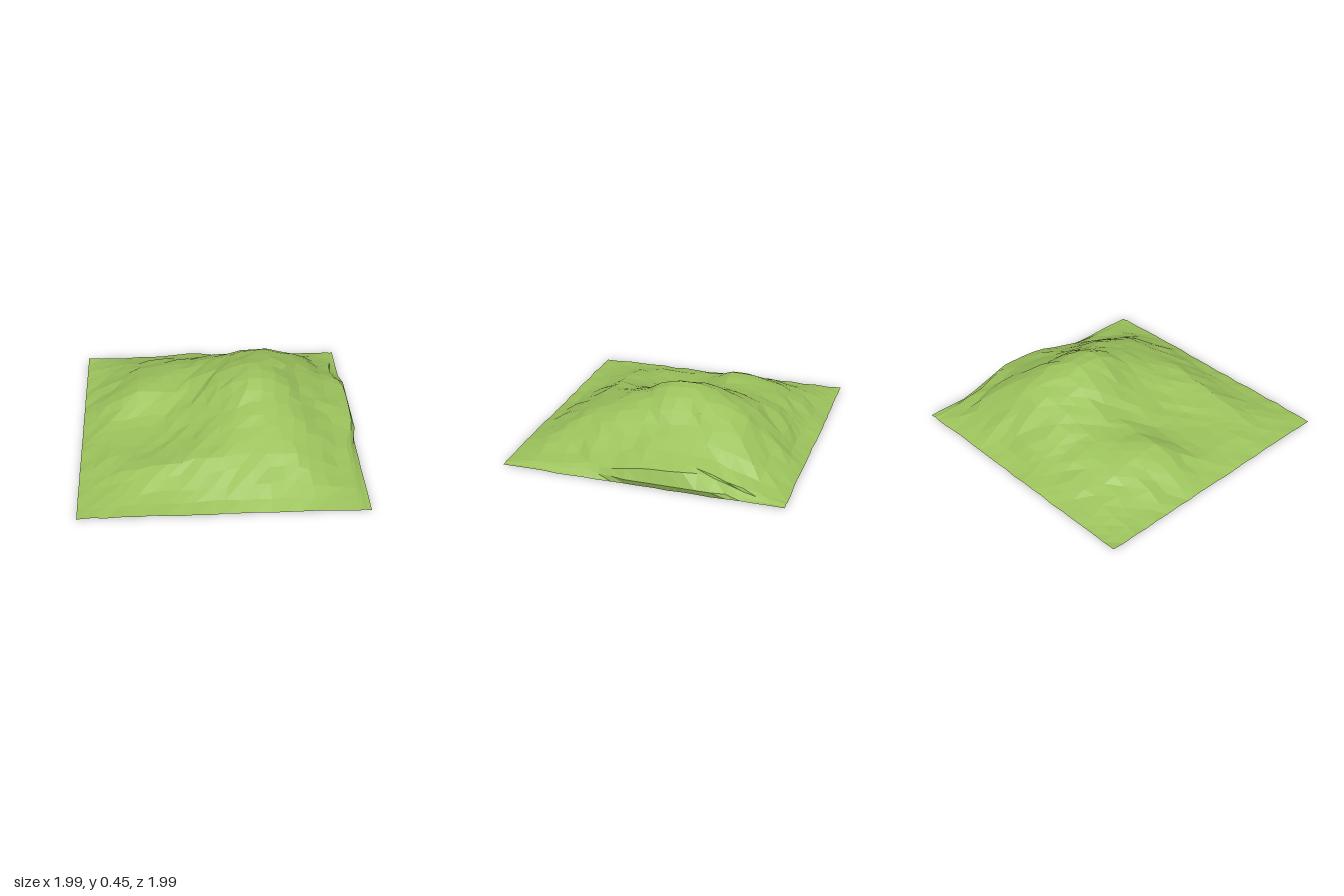
import * as THREE from 'three';

// Hill heights: one section per z step of 0.2 (back to front), one value per x step of 0.2
const sections = [
  [.05, .09, .11, .12, .13, .14, .145, .12, .07, .03],
  [.08, .155, .19, .21, .26, .30, .315, .25, .13, .07],
  [.10, .20, .215, .24, .31, .38, .39, .30, .19, .14],
  [.11, .21, .20, .23, .35, .45, .415, .30, .20, .14],
  [.09, .11, .14, .205, .33, .44, .41, .28, .19, .13],
  [.07, .09, .12, .185, .28, .36, .35, .28, .155, .09],
  [.07, .09, .12, .18, .245, .29, .29, .24, .115, .05],
  [.055, .11, .14, .175, .20, .215, .215, .175, .065, .03],
  [.035, .05, .06, .07, .09, .11, .115, .09, .045, .02],
];

const RIM = 0.013;
const { lerp, smoothstep } = THREE.MathUtils;

// Height at a section and column; the outer rim is almost flat
function control(row, col) {
  if (row <= 0 || row >= 10 || col <= 0) return RIM;
  return sections[row - 1][Math.min(col, 10) - 1];
}

function catmull(a, b, c, d, t) {
  return b + 0.5 * t * (c - a + t * (2 * a - 5 * b + 4 * c - d + t * (3 * (b - c) + d - a)));
}

// Smooth height between the control values
function heightAt(row, col) {
  const r = Math.floor(row), c = Math.floor(col);
  const across = [-1, 0, 1, 2].map((k) => {
    const v = [-1, 0, 1, 2].map((j) => control(r + k, c + j));
    return catmull(...v, col - c);
  });
  return Math.max(0.005, catmull(...across, row - r));
}

// Small seeded random in the range -1..1
function seeded(seed) {
  let s = seed;
  return () => {
    s = (s * 1664525 + 1013904223) % 4294967296;
    return s / 2147483648 - 1;
  };
}

function createHill() {
  const rows = 20, cols = 20, lip = 2;
  const plane = new THREE.PlaneGeometry(2, 2, cols + lip, rows);
  const pos = plane.attributes.position;
  const rand = seeded(17);

  for (let j = 0, n = 0; j <= rows; j++) {
    const zRow = (j / 2 - 5) * 0.197;
    // Strength of the steep bank along the left side
    const bank = smoothstep(zRow, -0.68, -0.48) * (1 - smoothstep(zRow, 0.1, 0.3));
    for (let i = 0; i <= cols + lip; i++, n++) {
      const h = heightAt(j / 2, Math.min(i, cols) / 2);
      let x = -1 + 0.1 * i;
      let y = h;
      let z = zRow;

      if (i === cols) {
        // Top of the bank, cut back towards the rear
        x = lerp(0.93, 0.965, bank) - 0.06 * Math.exp(-(((z + 0.52) / 0.15) ** 2));
      } else if (i === cols + 1) {
        // The bank bulges outward
        x = lerp(0.952, 0.993, bank);
        y = lerp(h * 0.5, 0.045, bank);
      } else if (i > cols) {
        // Bottom edge tucked under the bank
        x = 0.976;
        y = 0.006 + 0.004 * rand();
      } else if (i > 0 && j > 0 && j < rows) {
        // Uneven facets
        x += (i === cols - 1 ? 0.008 : 0.018) * rand();
        z += 0.018 * rand();
        y += 0.005 * rand() * smoothstep(h, 0, 0.1);
      } else {
        z += 0.004 * rand();
        y += 0.006 * rand();
      }
      // Raised bump on the back edge
      if (j === 0 && i < cols) {
        const bump = Math.exp(-(((x + 0.2) / 0.2) ** 2));
        z -= 0.012 * bump;
        y += 0.015 * bump;
      }
      pos.setXYZ(n, x, Math.max(y, 0), z);
    }
  }
  const geometry = plane.toNonIndexed();
  geometry.computeVertexNormals();
  return geometry;
}

export function createModel() {
  const grass = new THREE.MeshStandardMaterial({
    color: 0x9cc25c, flatShading: true, side: THREE.DoubleSide,
  });
  grass.name = 'grass green';

  const hill = new THREE.Mesh(createHill(), grass);
  hill.name = 'grassyHill';

  const model = new THREE.Group();
  model.name = 'hillTerrain';
  model.add(hill);
  return model;
}
